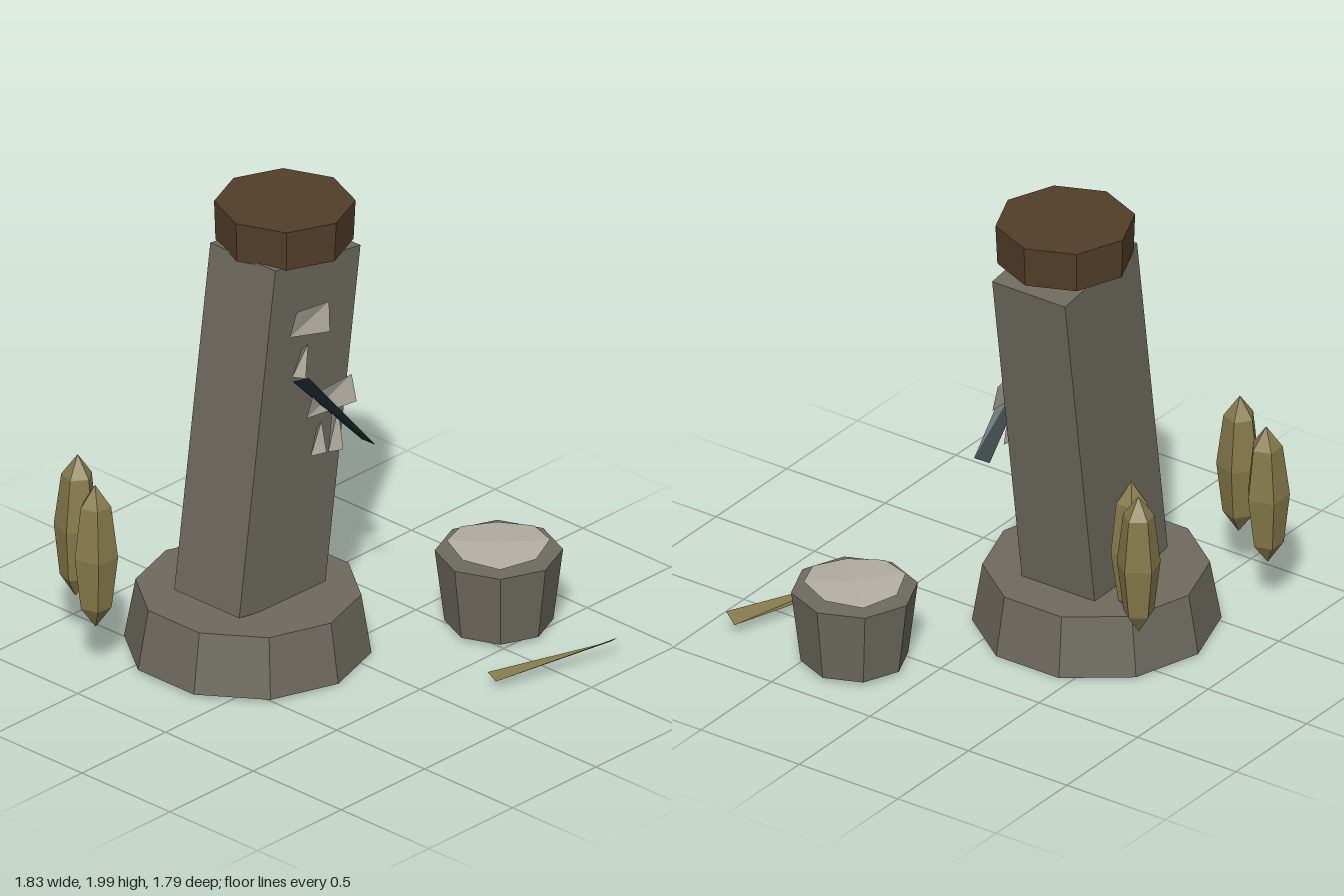
import * as THREE from 'three';

function material(name, color, options = {}) {
  const m = new THREE.MeshStandardMaterial({ color, flatShading: true, ...options });
  m.name = name;
  return m;
}

export function createModel() {
  const group = new THREE.Group();
  const stone = material('weathered stone', 0x6e6a5f);
  const wood = material('brown wood', 0x533e29);
  const straw = material('dry straw', 0x867a4b, { side: THREE.DoubleSide });
  const pale = material('pale stone', 0xb3aea3, { side: THREE.DoubleSide });
  const dark = material('dark metal', 0x1e2f31, { side: THREE.DoubleSide });

  function add(name, geometry, mat, x = 0, y = 0, z = 0) {
    const mesh = new THREE.Mesh(geometry, mat);
    mesh.name = name;
    mesh.position.set(x, y, z);
    group.add(mesh);
    return mesh;
  }

  // Thin four-cornered sheet, corners counter-clockwise from its front
  function sheet(name, corners, mat) {
    const g = new THREE.BufferGeometry();
    g.setAttribute('position', new THREE.Float32BufferAttribute(corners.flat(), 3));
    g.setIndex([0, 1, 2, 0, 2, 3]);
    g.computeVertexNormals();
    return add(name, g, mat);
  }

  // Ten-sided plinth, leaning pillar and eight-sided cap
  const base = add('base', new THREE.CylinderGeometry(0.47, 0.515, 0.265, 10), stone, -0.205, 0.148, -0.285);
  base.rotation.z = -0.015;
  const pillar = add('pillar', new THREE.BoxGeometry(0.515, 1.55, 0.37), stone, -0.095, 1.03, -0.28);
  pillar.rotation.z = -0.14;
  const cap = add('cap', new THREE.CylinderGeometry(0.292, 0.285, 0.178, 8), wood, 0.012, 1.909, -0.283);
  cap.rotation.z = -0.01;

  // Pot with a loose sheet of pale filling above it
  add('pot', new THREE.CylinderGeometry(0.265, 0.225, 0.325, 8), stone, 0.65, 0.188, 0.33);
  const filling = new THREE.CircleGeometry(0.213, 8);
  filling.rotateX(-Math.PI / 2);
  const p = filling.attributes.position;
  for (let i = 0; i < p.count; i++) {
    p.setY(i, 0.014 * Math.sin(2 * Math.atan2(p.getZ(i), p.getX(i))) * Math.hypot(p.getX(i), p.getZ(i)) / 0.213);
  }
  filling.computeVertexNormals();
  add('potFilling', filling, pale, 0.648, 0.383, 0.33);

  // Pale patches floating just before the pillar face
  const patches = [
    [[-0.195, 1.52], [0.02, 1.475], [0.04, 1.6], [-0.18, 1.64]],
    [[-0.18, 1.33], [-0.125, 1.31], [-0.085, 1.45], [-0.15, 1.46]],
    [[-0.095, 1.105], [0.18, 1.09], [0.175, 1.21], [-0.08, 1.22]],
    [[-0.07, 0.92], [0, 0.92], [-0.005, 1.06], [-0.06, 1.06]],
    [[0.035, 0.9], [0.1, 0.895], [0.095, 1.08], [0.03, 1.085]],
  ];
  patches.forEach((c, i) => {
    sheet('patch' + (i + 1), c.map(([x, y], k) => [x, y, -0.045 + (k % 2 ? 0.012 : -0.012)]), pale);
  });

  // Twisted dark strip across the patches
  sheet('darkStrip', [
    [-0.18, 1.31, -0.055], [0.24, 0.88, -0.062], [0.243, 0.88, 0.015], [-0.145, 1.335, 0.005],
  ], dark);

  // Twisted straw-coloured slat on the ground
  sheet('slat', [
    [0.21, 0.048, 0.73], [0.765, 0.104, 0.9], [0.778, 0.062, 0.848], [0.23, 0.061, 0.665],
  ], straw);

  // Tall pointed shrubs behind the pillar
  const shrubs = [[-0.68, -0.81, 0.3], [-0.825, -0.565, 0.9], [0.11, -0.725, 0.6], [0.02, -0.63, 0]];
  shrubs.forEach(([x, z, turn], i) => {
    const shrub = add('shrub' + (i + 1), new THREE.SphereGeometry(1, 5, 4), straw, x, 0.56, z);
    shrub.scale.set(0.095, 0.325, 0.095);
    shrub.rotation.set(0, turn, -0.03);
  });

  return group;
}
